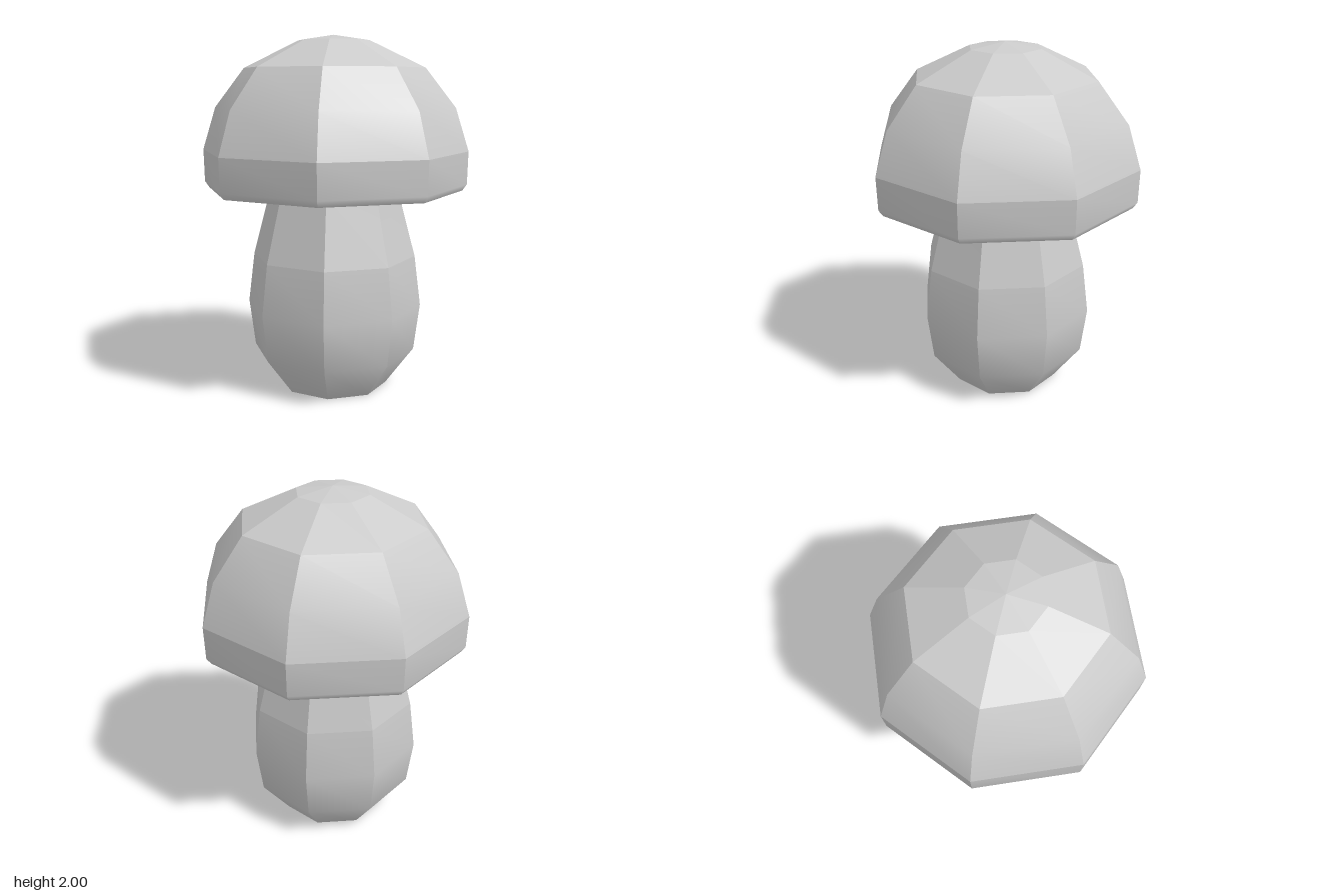
import * as THREE from 'three';
import { mergeGeometries } from 'three/addons/utils/BufferGeometryUtils.js';

const SIDES = 8;
const material = new THREE.MeshStandardMaterial({ color: 0xcccccc });

// Eight-sided turned part: each side is smooth along a band's profile,
// with hard edges between sides and between bands.
function facetedLathe(name, bands) {
  const step = (Math.PI * 2) / SIDES;
  const strips = [];
  for (const band of bands) {
    const points = band.map(([r, y]) => new THREE.Vector2(r, y));
    for (let i = 0; i < SIDES; i++) {
      const strip = new THREE.LatheGeometry(points, 1, i * step, step);
      strip.computeVertexNormals();
      strips.push(strip);
    }
  }
  const mesh = new THREE.Mesh(mergeGeometries(strips), material);
  mesh.name = name;
  return mesh;
}

export function createModel() {
  const model = new THREE.Group();
  model.name = 'mushroom';

  // Bulging stem, running up to the roof of the hollow cap
  model.add(facetedLathe('stem', [
    [[0, 0], [0.305, 0]],
    [[0.305, 0], [0.465, 0.21], [0.5, 0.475], [0.465, 0.76]],
    [[0.465, 0.76], [0.365, 1.14], [0.18, 1.9]],
  ]));

  // Domed outside of the cap
  model.add(facetedLathe('capOuter', [
    [[0.725, 1.14], [0.75, 1.175], [0.755, 1.36]],
    [[0.755, 1.36], [0.68, 1.6], [0.51, 1.82]],
    [[0.51, 1.82], [0.2, 1.97]],
    [[0.2, 1.97], [0, 2]],
  ]));

  // Narrow flat rim under the cap
  model.add(facetedLathe('capRim', [[[0.67, 1.14], [0.725, 1.14]]]));

  // Hollow inside of the cap
  model.add(facetedLathe('capInner', [
    [[0, 1.91], [0.17, 1.89], [0.46, 1.75]],
    [[0.46, 1.75], [0.61, 1.56], [0.68, 1.35], [0.67, 1.14]],
  ]));

  return model;
}
